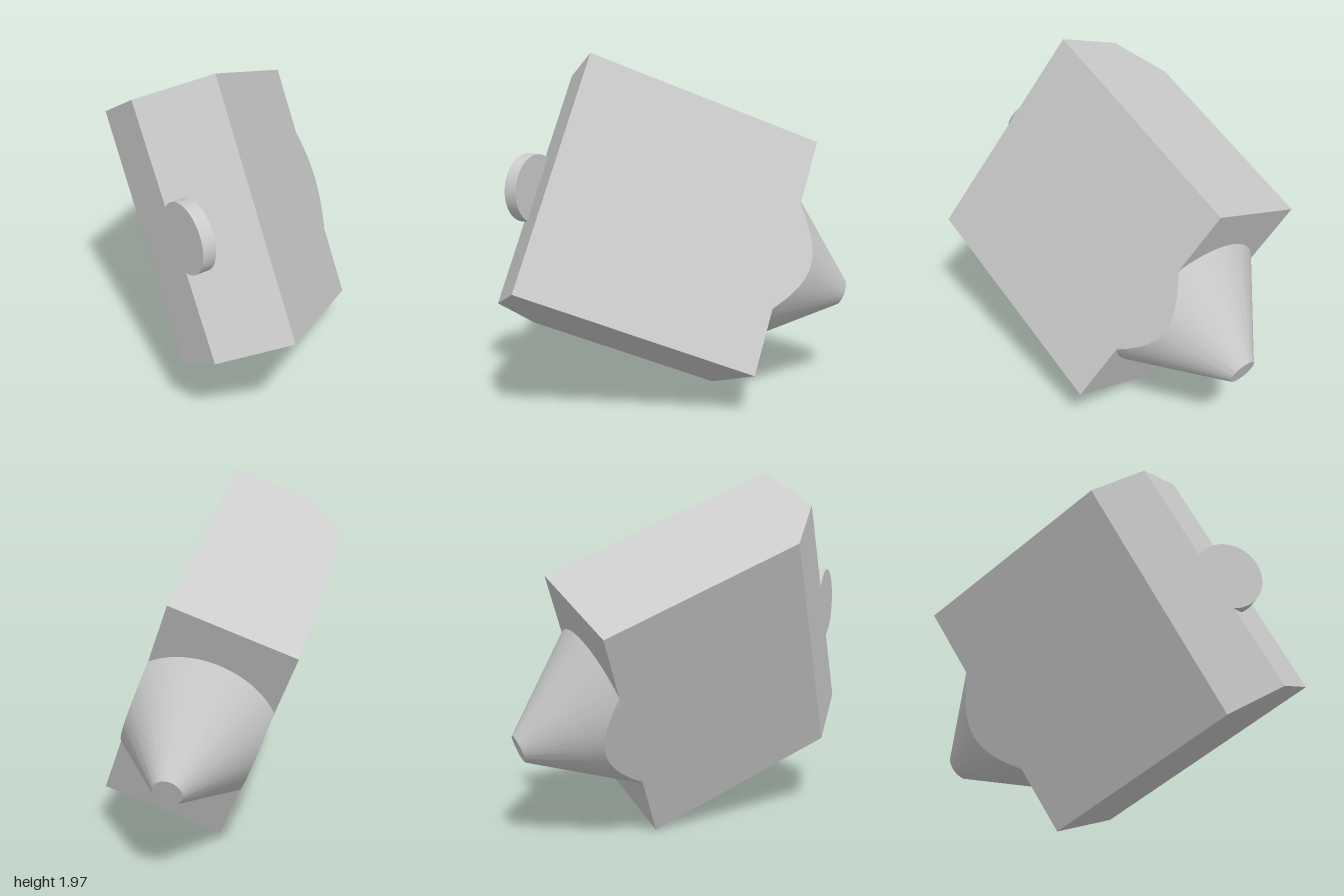
import * as THREE from 'three';
import { ConvexGeometry } from 'three/addons/geometries/ConvexGeometry.js';
import { toCreasedNormals } from 'three/addons/utils/BufferGeometryUtils.js';

const HALF = 0.7, THICK = 0.35;      // half width/height and half thickness of the slab
const CUT_X = -0.735;                // vertical plane that trims the slab's rear corner
const CENTRE = new THREE.Vector3(-0.174, 0.99, 0);

// Tilted frame of the slab: u towards the nozzle, v up, w out of the front face
const u = new THREE.Vector3(0.7036, -0.375, -0.6036).normalize();
const w = u.clone().cross(new THREE.Vector3(0.0107, 0.857, -0.518)).normalize();
const v = w.clone().cross(u);

// Square slab with one long corner cut off by the vertical plane
function slabGeometry() {
  const points = [];
  for (const b of [-HALF, HALF]) {
    const rest = CUT_X - CENTRE.x - v.x * b;
    const c = (rest + u.x * HALF) / w.x;
    const a = (rest + w.x * THICK) / u.x;
    for (const [x, z] of [[-HALF, THICK], [HALF, THICK], [HALF, -THICK], [a, -THICK], [-HALF, c]])
      points.push(new THREE.Vector3(x, b, z));
  }
  return new ConvexGeometry(points);
}

// Truncated cone along +x, trimmed flush with the slab's two large faces
function nozzleGeometry(R = 0.467, tip = 0.08, H = 0.507, N = 120) {
  const rows = [[], [], [], []];
  for (let j = 0; j <= N; j++) {
    const t = (j % N) / N * Math.PI * 2, cos = Math.cos(t), sin = Math.sin(t);
    const r = Math.min(R, THICK / Math.max(Math.abs(sin), 1e-6));
    const start = (R - r) / (R - tip) * H;
    rows[0].push([0, r * cos, r * sin]);
    rows[1].push([start, r * cos, r * sin]);
    rows[2].push([H, tip * cos, tip * sin]);
    rows[3].push([H, 0, 0]);
  }
  const pos = [];
  for (let i = 0; i < 3; i++)
    for (let j = 0; j < N; j++) {
      const a = rows[i][j], b = rows[i][j + 1], c = rows[i + 1][j + 1], d = rows[i + 1][j];
      if (i > 0 || a[0] !== d[0] || b[0] !== c[0]) {
        pos.push(...a, ...b, ...c);
        if (i < 2) pos.push(...a, ...c, ...d);
      }
    }
  // the last row is a fan closing the tip
  const geo = new THREE.BufferGeometry();
  geo.setAttribute('position', new THREE.Float32BufferAttribute(pos, 3));
  return toCreasedNormals(geo, 0.4);
}

export function createModel() {
  const model = new THREE.Group();
  const material = new THREE.MeshStandardMaterial({ color: 0xcccccc });
  const add = (parent, name, geometry) => {
    const mesh = new THREE.Mesh(geometry, material);
    mesh.name = name;
    parent.add(mesh);
    return mesh;
  };

  // Slab and nozzle share the tilted frame
  const body = new THREE.Group();
  body.name = 'body';
  body.applyMatrix4(new THREE.Matrix4().makeBasis(u, v, w).setPosition(CENTRE));
  add(body, 'slab', slabGeometry());
  add(body, 'nozzle', nozzleGeometry()).position.x = HALF;
  model.add(body);

  // Upright disc, flush with the cut and sticking out of the side face
  const width = 0.075;
  const disc = add(model, 'disc', new THREE.CylinderGeometry(0.192, 0.192, width, 64));
  disc.rotation.z = Math.PI / 2;
  disc.position.set(CUT_X + width / 2, 1.228, 0.453);

  return model;
}
